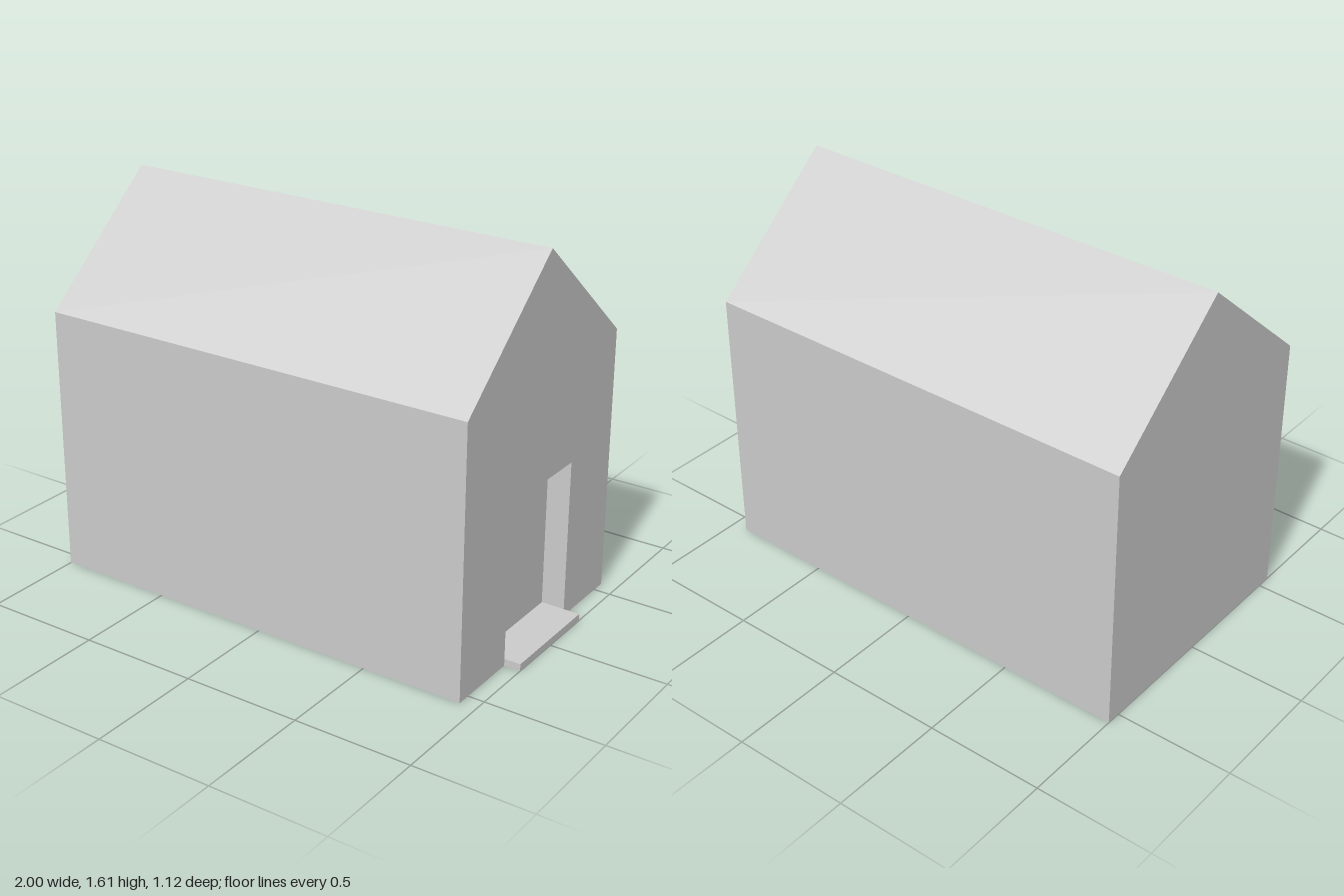
import * as THREE from 'three';
import { mergeGeometries } from 'three/addons/utils/BufferGeometryUtils.js';

const BACK = -1, FRONT = 0.93, NICHE = 0.83, STEP_END = 1; // along x
const HALF = 0.56, EAVE = 1.13, RIDGE = 1.61;
const DOOR = 0.235, DOOR_TOP = 0.677, STEP_TOP = 0.03;

// flat polygon from 2D points
const flat = (points) =>
  new THREE.ShapeGeometry(new THREE.Shape(points.map(([x, y]) => new THREE.Vector2(x, y))));

// four-cornered panel, corners counter-clockwise seen from outside
function panel(a, b, c, d) {
  const g = new THREE.BufferGeometry();
  g.setAttribute('position', new THREE.Float32BufferAttribute([...a, ...b, ...c, ...d], 3));
  g.setAttribute('uv', new THREE.Float32BufferAttribute([0, 0, 1, 0, 1, 1, 0, 1], 2));
  g.setIndex([0, 1, 2, 0, 2, 3]);
  g.computeVertexNormals();
  return g;
}

export function createModel() {
  const group = new THREE.Group();
  group.name = 'house';
  const material = new THREE.MeshStandardMaterial({ color: 0xcccccc, flatShading: true });
  const add = (name, ...parts) => {
    const mesh = new THREE.Mesh(parts.length > 1 ? mergeGeometries(parts) : parts[0], material);
    mesh.name = name;
    group.add(mesh);
    return mesh;
  };

  // gable walls, the door end cut by the doorway
  const gableTop = [[HALF, 0], [HALF, EAVE], [0, RIDGE], [-HALF, EAVE], [-HALF, 0]];
  const doorCut = [[-DOOR, 0], [-DOOR, DOOR_TOP], [DOOR, DOOR_TOP], [DOOR, 0]];
  add('doorGable', flat([...gableTop, ...doorCut]).rotateY(Math.PI / 2).translate(FRONT, 0, 0));
  add('plainGable', flat(gableTop).rotateY(-Math.PI / 2).translate(BACK, 0, 0));

  // long walls and roof slopes; the second side is the first turned about y
  const mid = (BACK + FRONT) / 2;
  const bothSides = (g) => [g, g.clone().translate(-mid, 0, 0).rotateY(Math.PI).translate(mid, 0, 0)];
  add('longWalls', ...bothSides(panel(
    [BACK, 0, HALF], [FRONT, 0, HALF], [FRONT, EAVE, HALF], [BACK, EAVE, HALF])));
  add('roof', ...bothSides(panel(
    [BACK, EAVE, HALF], [FRONT, EAVE, HALF], [FRONT, RIDGE, 0], [BACK, RIDGE, 0])));

  // underside, notched where the step enters the doorway
  add('base', flat([
    [BACK, -HALF], [FRONT, -HALF], [FRONT, -DOOR], [NICHE, -DOOR],
    [NICHE, DOOR], [FRONT, DOOR], [FRONT, HALF], [BACK, HALF],
  ]).rotateX(Math.PI / 2));

  // recessed doorway: door panel, two jambs and the lintel
  const [y0, y1] = [STEP_TOP, DOOR_TOP];
  add('door', panel([NICHE, y0, DOOR], [NICHE, y0, -DOOR], [NICHE, y1, -DOOR], [NICHE, y1, DOOR]));
  add('doorFrame',
    panel([NICHE, y0, -DOOR], [FRONT, y0, -DOOR], [FRONT, y1, -DOOR], [NICHE, y1, -DOOR]),
    panel([FRONT, y0, DOOR], [NICHE, y0, DOOR], [NICHE, y1, DOOR], [FRONT, y1, DOOR]),
    panel([NICHE, y1, -DOOR], [FRONT, y1, -DOOR], [FRONT, y1, DOOR], [NICHE, y1, DOOR]));

  // doorstep running from the door out past the wall
  add('doorstep', new THREE.BoxGeometry(STEP_END - NICHE, STEP_TOP, DOOR * 2))
    .position.set((NICHE + STEP_END) / 2, STEP_TOP / 2, 0);

  return group;
}
